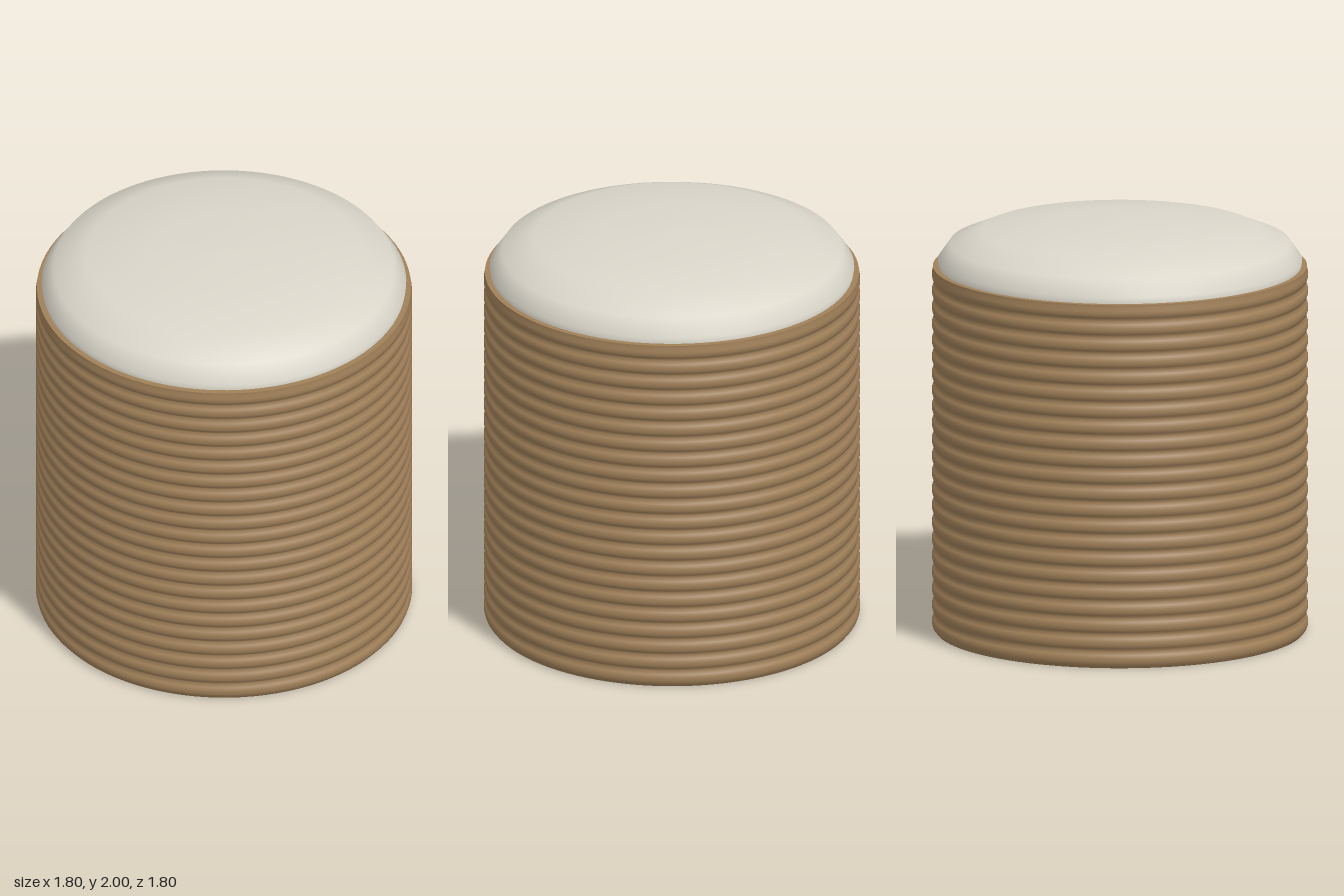
import * as THREE from 'three';

const SEGMENTS = 96;

function lathe(name, points, material) {
  const profile = points.map(([r, y]) => new THREE.Vector2(r, y));
  const mesh = new THREE.Mesh(new THREE.LatheGeometry(profile, SEGMENTS), material);
  mesh.name = name;
  return mesh;
}

export function createModel() {
  const wicker = new THREE.MeshStandardMaterial({ color: 0xa08059 });
  wicker.name = 'brown rope';
  const fabric = new THREE.MeshStandardMaterial({ color: 0xdad6ca });
  fabric.name = 'cream fabric';

  const model = new THREE.Group();
  model.name = 'ropePouf';

  // Ribbed side: stacked rounded coils
  const top = 1.78, coils = 22, pitch = top / coils;
  const side = [[0.882, 0]];
  for (let i = 0; i < coils; i++) {
    const y = i * pitch;
    side.push([0.895, y + pitch * 0.2], [0.9, y + pitch * 0.4],
      [0.9, y + pitch * 0.6], [0.895, y + pitch * 0.8]);
    side.push([i === coils - 1 ? 0.895 : 0.88, y + pitch]);
  }
  model.add(lathe('coiledSide', side, wicker));

  // Flat base and rim
  model.add(lathe('base', [[0, 0], [0.882, 0]], wicker));
  model.add(lathe('rim', [[0.895, top], [0.8, top]], wicker));

  // Domed seat cushion
  model.add(lathe('cushion', [
    [0.865, top - 0.02], [0.872, 1.81], [0.815, 1.892],
    [0.66, 1.957], [0.34, 1.992], [0, 2],
  ], fabric));

  return model;
}
